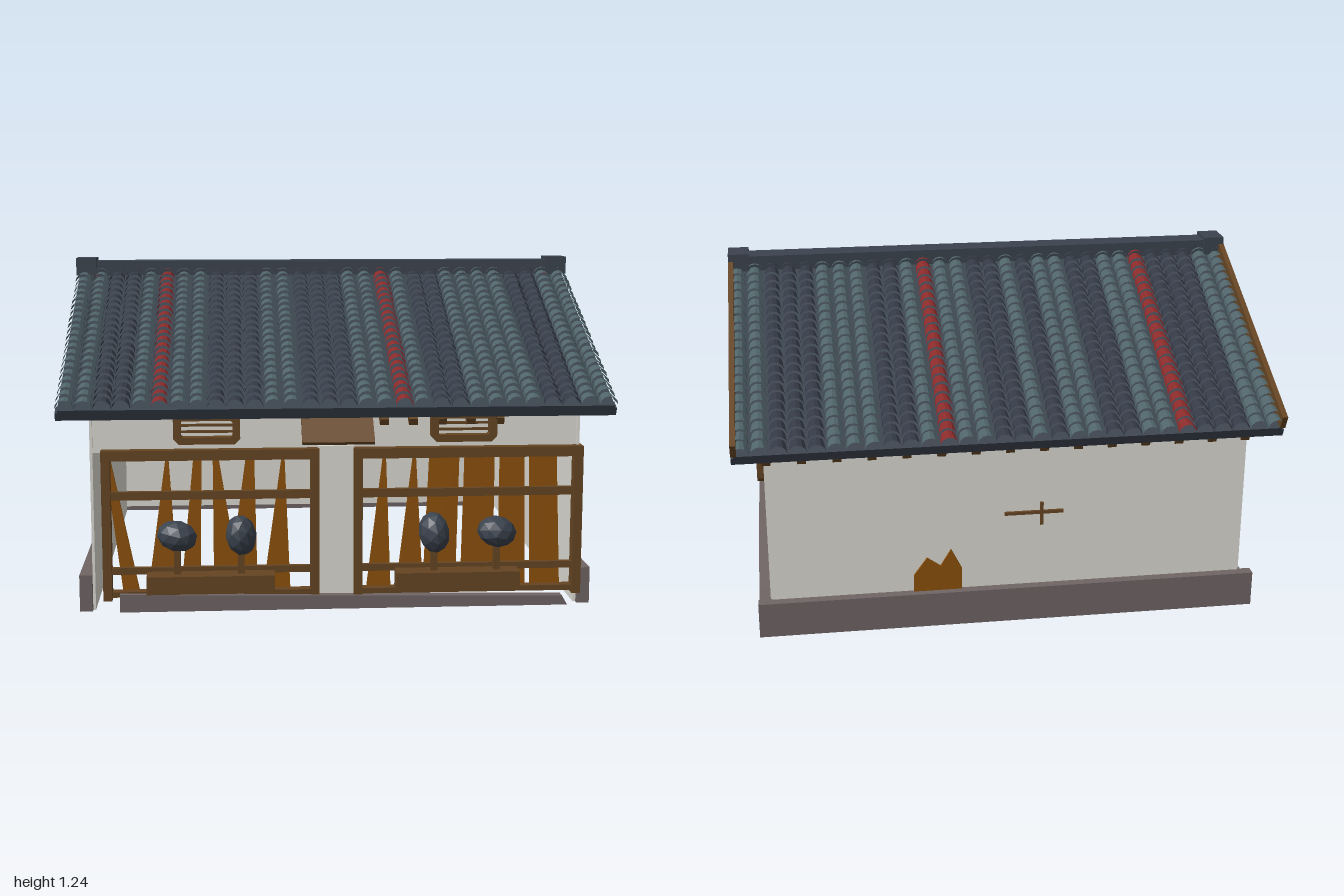
import * as THREE from 'three';
import { mergeGeometries } from 'three/addons/utils/BufferGeometryUtils.js';

const mat = (name, color) => new THREE.MeshStandardMaterial({ name, color, side: THREE.DoubleSide, flatShading: true });
const M = {
  plaster: mat('plaster', 0xdcdad2),
  stone: mat('stone', 0x6f6564),
  wood: mat('wood', 0x654523),
  panel: mat('panel', 0x8c500a),
  slate: mat('slate', 0x3b434e),
  light: mat('lightTile', 0x50656a),
  dark: mat('darkTile', 0x343a46),
  red: mat('redTile', 0x8c2b2b),
};

// Roof line: height 1.18 at the ridge, dropping at this angle
const PITCH = 0.433, LENGTH = 1.03, RIDGE = 1.18;
const FRONT_TILES = 'LLDDLRLLDDDLLDDDLLRLDDLLLLDDLL';
const BACK_TILES = 'LLDDDRLLDDLLDLDDLLRLDDLLLDDDLL';

function mesh(parent, name, geo, material, x = 0, y = 0, z = 0) {
  const m = new THREE.Mesh(geo, material);
  m.name = name;
  m.position.set(x, y, z);
  parent.add(m);
  return m;
}

// Box given by its limits on each axis
function span(parent, name, material, x0, x1, y0, y1, z0, z1) {
  return mesh(parent, name, new THREE.BoxGeometry(x1 - x0, y1 - y0, z1 - z0), material,
    (x0 + x1) / 2, (y0 + y1) / 2, (z0 + z1) / 2);
}

function group(parent, name) {
  const g = new THREE.Group();
  g.name = name;
  parent.add(g);
  return g;
}

function polygon(points) {
  return new THREE.Shape(points.map(([x, y]) => new THREE.Vector2(x, y)));
}

// Extrude a (z, y) outline along x, from x0 to x0 + depth
function extrudeX(points, x0, depth) {
  const g = new THREE.ExtrudeGeometry(polygon(points), { depth, bevelEnabled: false });
  return g.rotateY(-Math.PI / 2).translate(x0 + depth, 0, 0);
}

function octagon(w, h, c) {
  return [[-w + c, -h], [w - c, -h], [w, -h + c], [w, h - c], [w - c, h], [-w + c, h], [-w, h - c], [-w, -h + c]];
}

// Chamfered window frame facing +z with bars
function windowFrame(parent, name, w, h, bars, upright) {
  const g = group(parent, name);
  const shape = polygon(octagon(w / 2, h / 2, 0.02));
  shape.holes.push(polygon(octagon(w / 2 - 0.027, h / 2 - 0.025, 0.006)));
  mesh(g, 'frame', new THREE.ExtrudeGeometry(shape, { depth: 0.04, bevelEnabled: false }), M.wood);
  for (let i = 0; i < bars; i++) {
    const t = (i + 1) / (bars + 1) - 0.5;
    if (upright) mesh(g, 'bar', new THREE.BoxGeometry(0.011, h - 0.06, 0.01), M.wood, t * (w - 0.05), 0, 0.015);
    else mesh(g, 'bar', new THREE.BoxGeometry(w - 0.05, 0.009, 0.01), M.wood, 0, t * (h - 0.04), 0.015);
  }
  return g;
}

// One column of overlapping, slightly uneven half-round tiles
function tileColumn(seed) {
  let s = seed * 7919 + 13;
  const rnd = () => (s = (s * 16807) % 2147483647) / 2147483647 - 0.5;
  const rows = 22, step = (LENGTH - 0.01) / rows, list = [];
  for (let r = 0; r < rows; r++) {
    const t = new THREE.CylinderGeometry(0.033, 0.026, step * 1.12, 6, 1, true, Math.PI / 2, Math.PI);
    t.rotateX(Math.PI / 2).rotateX(-0.16 + rnd() * 0.06).rotateY(rnd() * 0.12);
    list.push(t.translate(0, 0.003, (r + 0.5) * step));
  }
  return mergeGeometries(list);
}

function roofSlope(parent, front) {
  const side = group(parent, front ? 'frontRoof' : 'backRoof');
  if (!front) side.rotation.y = Math.PI;
  const slope = group(side, 'slope');
  slope.position.y = RIDGE;
  slope.rotation.x = PITCH;
  span(slope, 'roofDeck', M.slate, -0.99, 0.99, -0.014, 0, 0, LENGTH - 0.01);
  const colours = { L: M.light, D: M.dark, R: M.red };
  const pattern = front ? FRONT_TILES : BACK_TILES;
  for (let i = 0; i < 30; i++) {
    const x = -1 + (i + 0.5) / 15;
    mesh(slope, 'tileColumn', tileColumn(i + (front ? 1 : 40)), colours[pattern[i]], front ? x : -x);
  }
  span(slope, 'eaveBoard', M.slate, -1, 1, -0.045, -0.015, LENGTH - 0.06, LENGTH - 0.015);
  if (!front) for (const x of [-0.99, 0.99])
    span(slope, 'bargeBoard', M.wood, x - 0.01, x + 0.01, 0, 0.055, 0.04, LENGTH - 0.01);
  // Exposed rafter tails below the eave
  const n = front ? 5 : 15;
  for (let i = 0; i < n; i++) {
    const x = front ? 0.17 + i * 0.105 : -0.88 + i * 0.1257;
    span(slope, 'rafterTail', M.wood, x - 0.016, x + 0.016, -0.105, -0.08, 0.86, 0.975);
  }
}

// Timber bay with rails, shutters, planter and two clipped bushes
function bay(parent, name, x0, x1, planter, bushes, panels) {
  const g = group(parent, name);
  for (const x of [x0, x1 - 0.032]) span(g, 'post', M.wood, x, x + 0.032, 0.04, 0.57, 0.8, 0.85);
  span(g, 'topBeam', M.wood, x0, x1, 0.555, 0.592, 0.79, 0.85);
  span(g, 'middleRail', M.wood, x0, x1, 0.41, 0.44, 0.82, 0.84);
  span(g, 'lowerRail', M.wood, x0, x1, 0.135, 0.16, 0.82, 0.84);
  span(g, 'bottomRail', M.wood, x0, x1, 0.05, 0.07, 0.8, 0.84);
  for (const [a, b, c, d] of panels)
    mesh(g, 'shutter', new THREE.ExtrudeGeometry(polygon([[a, 0.06], [b, 0.06], [d, 0.56], [c, 0.56]]),
      { depth: 0.012, bevelEnabled: false }), M.panel, 0, 0, 0.795);
  span(g, 'planter', M.wood, planter[0], planter[1], 0.08, 0.145, 0.84, 0.92);
  for (const x of bushes) {
    span(g, 'bushStem', M.wood, x - 0.012, x + 0.012, 0.14, 0.25, 0.86, 0.885);
    const b = mesh(g, 'bush', new THREE.IcosahedronGeometry(0.066, 1), M.slate, x, 0.285, 0.875);
    b.scale.set(1.15, 1, 0.85);
    b.rotation.set(x * 3, x * 5, 0.4);
  }
}

export function createModel() {
  const root = new THREE.Group();
  root.name = 'house';

  // Walls
  const walls = group(root, 'walls');
  const gable = [[-0.83, 0], [0.82, 0], [0.82, 0.785], [0, 1.162], [-0.83, 0.78]];
  for (const s of [-1, 1]) mesh(walls, 'gableWall', extrudeX(gable, s * 0.885 - 0.005, 0.01), M.plaster);
  span(walls, 'backWall', M.plaster, -0.885, 0.885, 0.02, 0.78, -0.835, -0.825);
  span(walls, 'frontUpperWall', M.plaster, -0.885, 0.885, 0.58, 0.78, 0.8, 0.81);
  span(walls, 'frontPier', M.plaster, -0.07, 0.062, 0.04, 0.6, 0.8, 0.83);

  // Stone plinth: low towards the back on the sides
  const base = group(root, 'plinth');
  const skirt = [[0.84, 0], [0.84, 0.135], [-0.2, 0.135], [-0.62, 0.08], [-0.83, 0.07], [-0.83, 0]];
  for (const s of [-1, 1]) mesh(base, 'sidePlinth', extrudeX(skirt, s * 0.913 - 0.023, 0.046), M.stone);
  span(base, 'backPlinth', M.stone, -0.936, 0.936, 0, 0.135, -0.87, -0.83);
  mesh(base, 'frontPlinth', new THREE.ExtrudeGeometry(
    polygon([[-0.79, 0], [0.85, 0], [0.83, 0.035], [-0.79, 0.065]]), { depth: 0.04, bevelEnabled: false }),
  M.stone, 0, 0, 0.82);

  // Roof with ridge beam and end caps
  const roof = group(root, 'roof');
  roofSlope(roof, true);
  roofSlope(roof, false);
  span(roof, 'ridge', M.slate, -0.99, 0.99, 1.17, 1.228, -0.045, 0.045);
  for (const s of [-1, 1]) {
    mesh(roof, 'ridgeCap', new THREE.BoxGeometry(0.08, 0.07, 0.11), M.slate, s * 0.96, 1.205, 0);
    // Stepped pendant below each ridge end
    for (let i = 0; i < 5; i++)
      mesh(roof, 'pendant', new THREE.BoxGeometry(0.03, 0.021, 0.056 - i * 0.007), M.red, s * 0.925, 1.158 - i * 0.026, 0);
  }

  // Windows
  for (const s of [-1, 1]) {
    const w = windowFrame(root, 'sideWindow', 0.24, 0.29, 3, true);
    w.position.set(s * 0.89, 0.5, -0.15);
    w.rotation.y = s * Math.PI / 2;
  }
  for (const x of [-0.47, 0.46]) {
    windowFrame(root, 'upperWindow', 0.24, 0.11, 2, false).position.set(x, 0.668, 0.81);
  }

  // Small canopy over the entrance
  const canopy = mesh(root, 'canopy', new THREE.BoxGeometry(0.26, 0.014, 0.12), M.wood, 0, 0.66, 0.86);
  canopy.rotation.x = 0.7;

  // Shutters: [bottom left, bottom right, top left, top right]
  bay(root, 'leftBay', -0.85, -0.065, [-0.69, -0.23], [-0.58, -0.35], [
    [-0.78, -0.72, -0.84, -0.82], [-0.69, -0.58, -0.62, -0.61], [-0.57, -0.5, -0.52, -0.49],
    [-0.45, -0.35, -0.45, -0.43], [-0.4, -0.29, -0.33, -0.3], [-0.27, -0.17, -0.2, -0.19]]);
  bay(root, 'rightBay', 0.06, 0.9, [0.21, 0.66], [0.35, 0.58], [
    [0.11, 0.2, 0.17, 0.18], [0.22, 0.32, 0.28, 0.29], [0.32, 0.44, 0.34, 0.45],
    [0.46, 0.58, 0.47, 0.58], [0.6, 0.7, 0.6, 0.69], [0.72, 0.83, 0.71, 0.81]]);

  // Back wall details: low pointed boards and a small bracket
  for (const [a, b, p, h] of [[0.18, 0.28, 0.22, 0.3], [0.24, 0.36, 0.31, 0.27]])
    mesh(root, 'backBoard', new THREE.ExtrudeGeometry(polygon([[a, 0.13], [b, 0.13], [b, 0.2], [p, h], [a, 0.22]]),
      { depth: 0.008, bevelEnabled: false }), M.panel, 0, 0, -0.844);
  span(root, 'backBracket', M.wood, -0.2, 0.02, 0.425, 0.437, -0.845, -0.835);
  span(root, 'backBracket', M.wood, -0.125, -0.113, 0.38, 0.47, -0.845, -0.835);

  return root;
}
